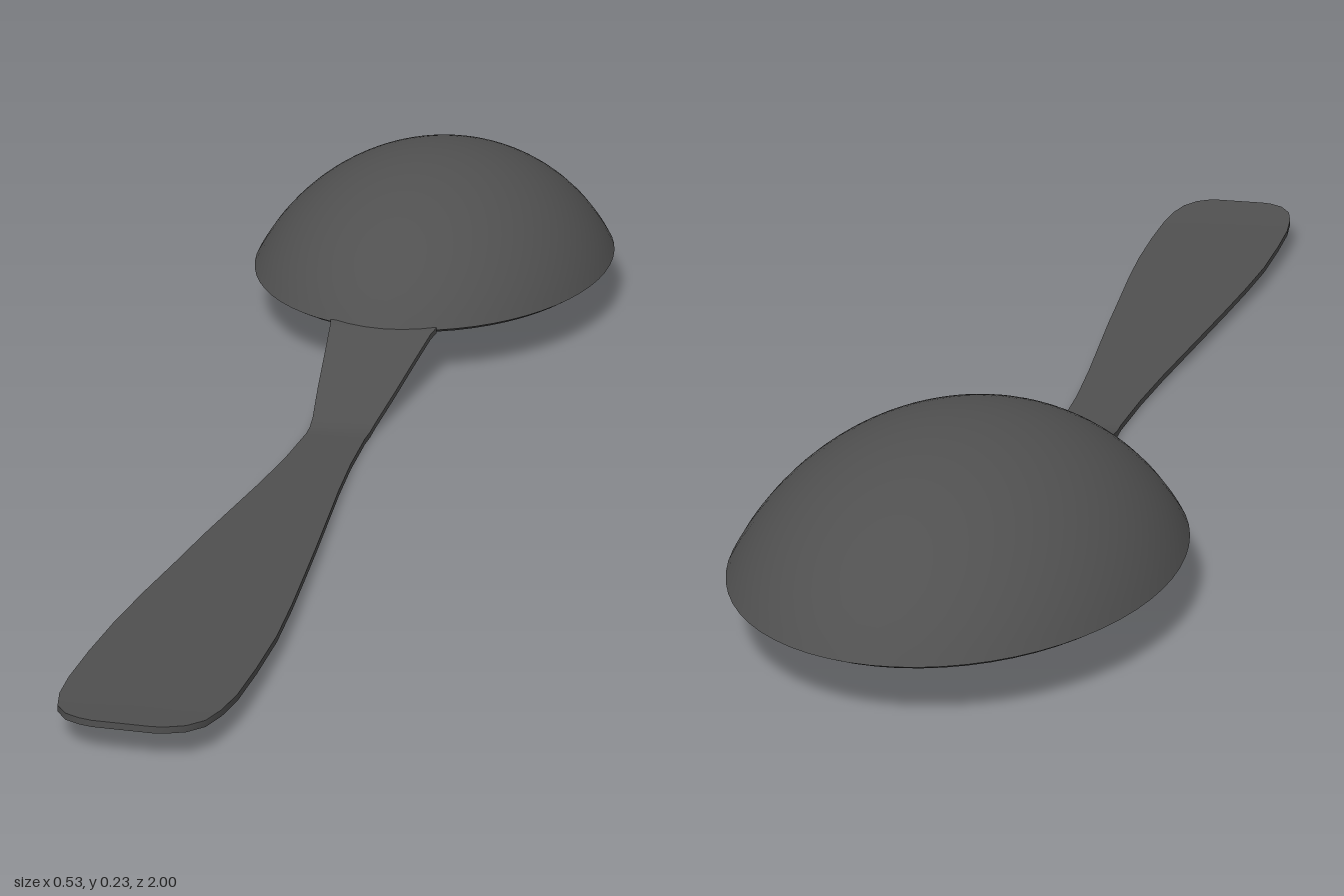
import * as THREE from 'three';

const material = new THREE.MeshStandardMaterial({ color: 0x505050, side: THREE.DoubleSide });

// Hollow oval bowl, dome upward: a spherical cap lathed and stretched along z
function makeBowl() {
  const arc = (rx, yRim, yTop, n) => {
    const h = yTop - yRim;
    const R = (rx * rx + h * h) / (2 * h);
    const a = Math.asin(rx / R);
    return Array.from({ length: n + 1 }, (_, i) => {
      const t = a * (1 - i / n);
      return new THREE.Vector2(R * Math.sin(t), yTop - R + R * Math.cos(t));
    });
  };
  const outer = arc(0.265, 0.068, 0.23, 24);
  const inner = arc(0.253, 0.06, 0.219, 24).reverse();
  const bowl = new THREE.Group();
  bowl.name = 'bowl';
  const addShell = (name, points) => {
    const mesh = new THREE.Mesh(new THREE.LatheGeometry(points, 64), material);
    mesh.name = name;
    bowl.add(mesh);
  };
  addShell('bowlOutside', outer);
  addShell('bowlInside', inner);
  addShell('bowlRim', [inner[inner.length - 1], outer[0]]);
  bowl.scale.z = 0.363 / 0.265;
  bowl.position.z = -0.637;
  return bowl;
}

// Thin flat handle: a box whose slices follow stations of [z, half width, top height]
function makeHandle() {
  const stations = [
    [-0.29, 0.077, 0.071], [-0.27, 0.073, 0.068], [-0.2, 0.064, 0.051], [-0.12, 0.054, 0.031],
    [-0.05, 0.044, 0.013], [-0.025, 0.042, 0.008], [0, 0.041, 0.008], [0.1, 0.045, 0.010],
    [0.2, 0.053, 0.013], [0.3, 0.063, 0.016], [0.4, 0.073, 0.019], [0.5, 0.082, 0.021],
    [0.6, 0.091, 0.024], [0.7, 0.098, 0.027], [0.8, 0.1, 0.031], [0.88, 0.099, 0.034],
    [0.93, 0.094, 0.037], [0.965, 0.085, 0.039], [0.987, 0.069, 0.041], [0.997, 0.05, 0.042],
    [1, 0.035, 0.042],
  ];
  const n = stations.length - 1;
  const thickness = 0.008;
  const geo = new THREE.BoxGeometry(1, 1, 1, 2, 1, n);
  const p = geo.attributes.position;
  for (let i = 0; i < p.count; i++) {
    const [z, halfWidth, top] = stations[Math.round((p.getZ(i) + 0.5) * n)];
    p.setXYZ(i, p.getX(i) * 2 * halfWidth - 0.002, top + (p.getY(i) - 0.5) * thickness, z);
  }
  geo.computeVertexNormals();
  const handle = new THREE.Mesh(geo, material);
  handle.name = 'handle';
  return handle;
}

export function createModel() {
  const spoon = new THREE.Group();
  spoon.name = 'spoon';
  spoon.add(makeBowl(), makeHandle());
  return spoon;
}
